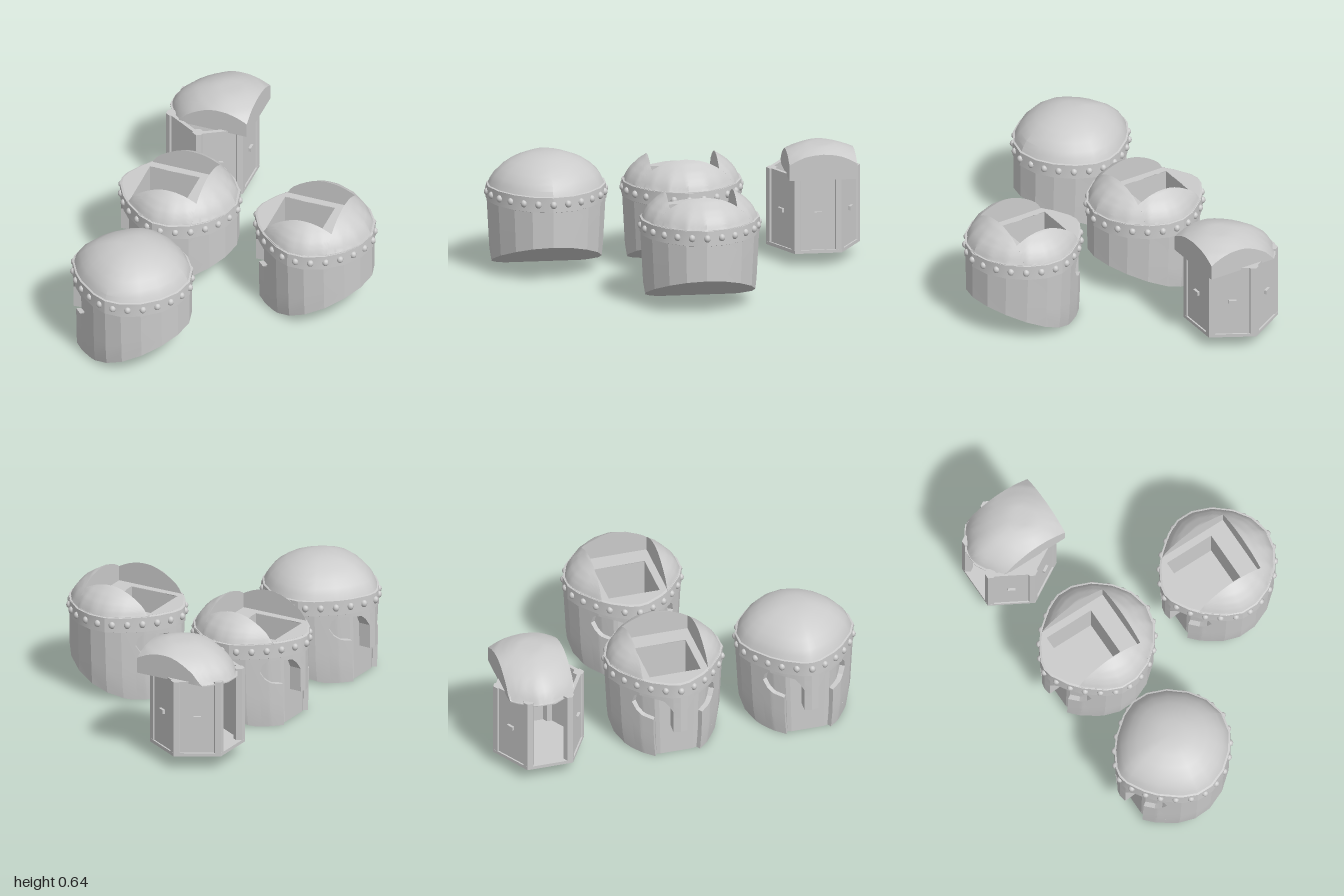
import * as THREE from 'three';
import { toCreasedNormals } from 'three/addons/utils/BufferGeometryUtils.js';

const mat = new THREE.MeshStandardMaterial({ color: 0xcccccc, side: THREE.DoubleSide });
const lerp = THREE.MathUtils.lerp;

// Half plan of a helmet (x, half width), nose at -x
const HALF = [[-.33, 0], [-.32, .05], [-.27, .14], [-.22, .2], [-.12, .28], [-.04, .315],
  [.05, .315], [.15, .275], [.24, .2], [.3, .11], [.325, 0]];
const PLAN = [...HALF, ...HALF.slice(1, -1).reverse().map(([x, z]) => [x, -z])];
// Dome profile (plan scale, height)
const DOME = [[.97, .47], [.93, .5], [.87, .53], [.76, .565], [.6, .6], [.4, .625], [.24, .638], [0, .64]];
const BASE = .475, CUT_X = .16, CUT_Z = .18;

function table(points, v) {
  const up = points[0][0] < points[points.length - 1][0] ? points : [...points].reverse();
  if (v <= up[0][0]) return up[0][1];
  for (let i = 1; i < up.length; i++) {
    const [a, p] = up[i - 1], [b, q] = up[i];
    if (v <= b) return lerp(p, q, (v - a) / (b - a));
  }
  return up[up.length - 1][1];
}
const halfWidth = x => table(HALF, x);
const bottomY = x => x < -.16 ? 0 : .2 * Math.pow((x + .16) / .485, 1.15);

// Height of the dome over a point, from the convex plan's scale at that point
function domeY(x, z) {
  let s = 0;
  for (let i = 1; i < HALF.length; i++) {
    const [ax, az] = HALF[i - 1], [bx, bz] = HALF[i];
    const nx = az - bz, nz = bx - ax;
    s = Math.max(s, (nx * x + nz * Math.abs(z)) / (nx * ax + nz * az));
  }
  return table(DOME, s);
}

function mesh(name, geometry) {
  const m = new THREE.Mesh(geometry, mat);
  m.name = name;
  return m;
}

// Collects quads, then makes a creased mesh
class Quads {
  constructor() { this.p = []; }
  add(a, b, c, d) { this.p.push(...a, ...b, ...c, ...a, ...c, ...d); }
  mesh(name, crease = .4) {
    const g = new THREE.BufferGeometry();
    g.setAttribute('position', new THREE.Float32BufferAttribute(this.p, 3));
    return mesh(name, toCreasedNormals(g, crease));
  }
}

// Loft of scaled plans
function rings(name, profile) {
  const q = new Quads(), n = PLAN.length;
  const at = ([s, y], i) => [PLAN[i % n][0] * s, y, PLAN[i % n][1] * s];
  for (let k = 1; k < profile.length; k++)
    for (let i = 0; i < n; i++)
      q.add(at(profile[k - 1], i), at(profile[k - 1], i + 1), at(profile[k], i + 1), at(profile[k], i));
  return q.mesh(name);
}

// Solid piece of the dome between two x positions and two edges in z
function domePart(name, x0, x1, lo, hi) {
  const q = new Quads(), N = 22;
  const ease = t => .5 - .5 * Math.cos(Math.PI * t);
  const top = (i, j) => {
    const x = lerp(x0, x1, ease(i / N)), z = lerp(lo(x), hi(x), ease(j / N));
    return [x, domeY(x, z), z];
  };
  const base = p => [p[0], BASE, p[2]];
  for (let i = 0; i < N; i++) {
    for (let j = 0; j < N; j++) q.add(top(i, j), top(i, j + 1), top(i + 1, j + 1), top(i + 1, j));
    for (const e of [0, N]) {
      q.add(top(i, e), top(i + 1, e), base(top(i + 1, e)), base(top(i, e)));
      q.add(top(e, i), top(e, i + 1), base(top(e, i + 1)), base(top(e, i)));
    }
    q.add(base(top(i, 0)), base(top(i + 1, 0)), base(top(i + 1, N)), base(top(i, N)));
  }
  return q.mesh(name);
}
const edge = x => halfWidth(x) * .97;
const clipped = x => Math.min(CUT_Z, edge(x));
const domeBlock = name => domePart(name, -.32, CUT_X, x => -clipped(x), clipped);

// Points on the shell's outer and inner faces
const taper = y => y > .1 ? lerp(.95, 1, (y - .1) / .29) : lerp(.89, .95, y / .1);
const outer = (x, y, m) => [x * .985, y, m * halfWidth(x) * .985 * taper(y)];
const inner = (x, y, m) => [Math.max(x * .9, -.25), y, m * halfWidth(x) * .88 * taper(y)];

function shell() {
  const g = new THREE.Group(), wall = new Quads(), core = new Quads();
  g.name = 'faceShell';
  const eyeTop = [[-.322, .3], [-.312, .34], [-.3, .362], [-.27, .373], [-.21, .373], [-.192, .355], [-.18, .31]];
  const eyeLow = [[-.27, .235], [-.23, .245], [-.2, .272], [-.18, .31]];
  const NOSE = -.322, CHEEK = -.27, EYE = -.18;
  const xs = [-.33, NOSE, -.312, -.3, -.285, CHEEK, -.25, -.23, -.22, -.21, -.2, -.192, EYE, -.15, -.12,
    -.04, .05, .15, .24, .3, .325];
  // One wall block between neighbouring columns
  const block = (a, b, m, low, high, ends) => {
    const R = 5, y = (x, k) => lerp(low(x), high(x), k / R);
    for (let k = 0; k < R; k++) {
      for (const f of [outer, inner])
        wall.add(f(a, y(a, k), m), f(b, y(b, k), m), f(b, y(b, k + 1), m), f(a, y(a, k + 1), m));
      for (const x of ends)
        wall.add(outer(x, y(x, k), m), inner(x, y(x, k), m), inner(x, y(x, k + 1), m), outer(x, y(x, k + 1), m));
    }
    for (const f of [low, high])
      wall.add(outer(a, f(a), m), outer(b, f(b), m), inner(b, f(b), m), inner(a, f(a), m));
  };
  const rim = () => .395;
  for (const m of [1, -1])
    for (let i = 1; i < xs.length; i++) {
      const a = xs[i - 1], b = xs[i], mid = (a + b) / 2;
      if (mid < NOSE) block(a, b, m, () => .17, rim, [b]);
      else if (mid < EYE) {
        block(a, b, m, x => table(eyeTop, x), rim, []);
        if (mid > CHEEK) block(a, b, m, bottomY, x => table(eyeLow, x), a === CHEEK ? [a] : []);
      } else block(a, b, m, bottomY, rim, []);
      // Recessed core behind the opening
      core.add(inner(a, bottomY(a), m), inner(b, bottomY(b), m), inner(b, .395, m), inner(a, .395, m));
      if (m > 0) core.add(inner(a, bottomY(a), 1), inner(b, bottomY(b), 1), inner(b, bottomY(b), -1), inner(a, bottomY(a), -1));
    }
  g.add(wall.mesh('shellWall', .2), core.mesh('recessedCore', .2));
  return g;
}

function rivets() {
  const g = new THREE.Group(), path = new THREE.CurvePath(), n = PLAN.length;
  g.name = 'rivets';
  PLAN.forEach(([x, z], i) => path.add(new THREE.LineCurve3(new THREE.Vector3(x, .433, z),
    new THREE.Vector3(PLAN[(i + 1) % n][0], .433, PLAN[(i + 1) % n][1]))));
  const geo = new THREE.SphereGeometry(.018, 10, 8);
  for (let i = 0; i < 24; i++) {
    const r = mesh('rivet', geo);
    r.position.copy(path.getPointAt((i + .01) / 24)).multiply(new THREE.Vector3(.992, 1, .992));
    r.scale.y = 1.1;
    g.add(r);
  }
  return g;
}

function helmet(name, x, z, isCut) {
  const g = new THREE.Group();
  g.name = name;
  g.position.set(x, 0, z);
  g.add(shell(), rivets(), rings('band', [[.97, .388], [1, .392], [.995, .472], [.95, .476]]));
  if (!isCut) {
    g.add(rings('dome', DOME));
    return g;
  }
  // Dome left around the slot
  g.add(domePart('domeBack', CUT_X, .3152, x => -edge(x), edge));
  for (const m of [1, -1])
    g.add(domePart('domeSide', -.237, CUT_X, x => m * CUT_Z, x => m * Math.max(CUT_Z, edge(x))));
  // Slot floor with a rectangular well
  const floor = new THREE.Shape(PLAN.map(([px, pz]) => new THREE.Vector2(px * .96, pz * .96)));
  const [l, r, w] = [-.22, .06, .14];
  floor.holes.push(new THREE.Path([[l, -w], [l, w], [r, w], [r, -w]].map(p => new THREE.Vector2(...p))));
  const plate = new THREE.ShapeGeometry(floor).rotateX(-Math.PI / 2).translate(0, BASE + .003, 0);
  const well = new Quads(), c = [[l, -w], [l, w], [r, w], [r, -w]], D = .25;
  c.forEach(([ax, az], i) => {
    const [bx, bz] = c[(i + 1) % 4];
    well.add([ax, D, az], [bx, D, bz], [bx, BASE, bz], [ax, BASE, az]);
  });
  well.add(...c.map(([px, pz]) => [px, D, pz]));
  g.add(mesh('slotFloor', plate), well.mesh('well'));
  return g;
}

// Six-sided cabinet, open towards -x, under a loose dome block
function cabinet() {
  const g = new THREE.Group();
  g.name = 'cabinet';
  const body = new THREE.Group();
  body.name = 'cabinetBody';
  body.position.set(-.46, 0, -.75);
  const base = mesh('basePlate', new THREE.CylinderGeometry(.25, .25, .018, 6).toNonIndexed());
  base.geometry.computeVertexNormals();
  base.position.y = .079;
  body.add(base);
  for (let i = 0; i < 6; i++) {
    const side = new THREE.Group();
    side.name = 'cabinetSide';
    side.rotation.y = i * Math.PI / 3;
    const post = mesh('cornerPost', new THREE.CylinderGeometry(.03, .03, .41, 6).toNonIndexed());
    post.geometry.computeVertexNormals();
    post.position.set(.19, .285, .11);
    side.add(post);
    if (i !== 3) {
      const panel = mesh('panel', new THREE.BoxGeometry(.02, .41, .22));
      panel.position.set(.198, .285, 0);
      const knob = mesh('knob', new THREE.BoxGeometry(.02, .022, .04));
      knob.position.set(.212, .285, 0);
      side.add(panel, knob);
    }
    body.add(side);
  }
  const roof = domeBlock('domeBlock');
  roof.position.set(-.37, .004, -.773);
  g.add(body, roof);
  return g;
}

export function createModel() {
  const model = new THREE.Group();
  model.name = 'helmetSet';
  model.add(helmet('closedHelmet', -.38, .68, false), helmet('slottedHelmetRight', -.38, -.04, true),
    helmet('slottedHelmetLeft', .38, -.04, true), cabinet());
  return model;
}
